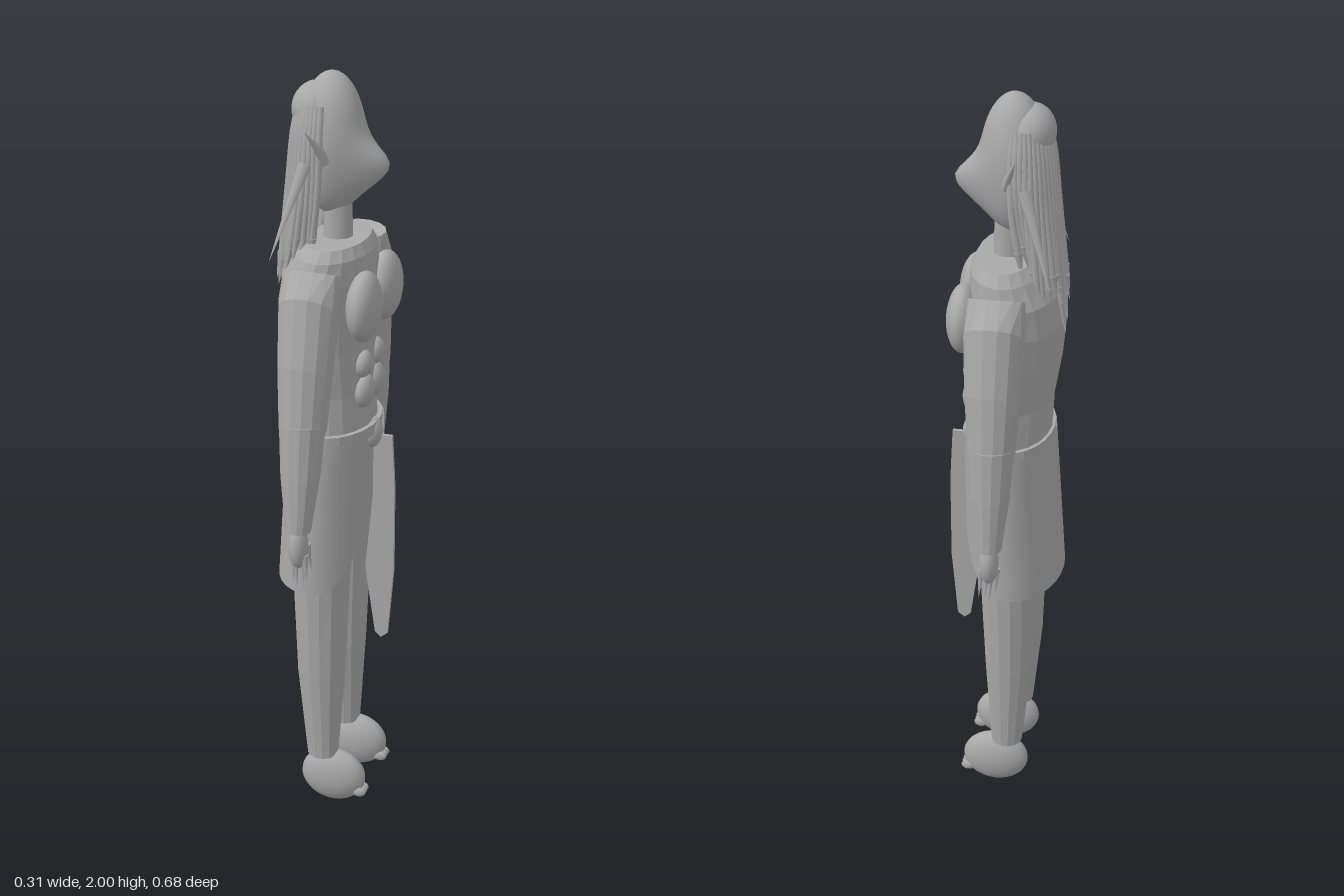
import * as THREE from 'three';

const V = (x, y, z) => new THREE.Vector3(x, y, z);

export function createModel() {
  const model = new THREE.Group();
  const clay = new THREE.MeshStandardMaterial({ color: 0xa8a8a8, side: THREE.DoubleSide });
  clay.name = 'grey clay';

  const add = (name, geometry) => {
    const mesh = new THREE.Mesh(geometry, clay);
    mesh.name = name;
    model.add(mesh);
    return mesh;
  };
  const ball = (name, x, y, z, rx, ry, rz, n = 24) => {
    const mesh = add(name, new THREE.SphereGeometry(1, n, Math.ceil(n * 0.7)));
    mesh.position.set(x, y, z);
    mesh.scale.set(rx, ry, rz);
    return mesh;
  };
  // Flattened or round cone between two points
  const spike = (name, from, to, r, flat = 1) => {
    const dir = to.clone().sub(from);
    const mesh = add(name, new THREE.ConeGeometry(r, dir.length(), 8));
    mesh.quaternion.setFromUnitVectors(V(0, 1, 0), dir.clone().normalize());
    mesh.position.copy(from).addScaledVector(dir, 0.5);
    mesh.scale.x = flat;
    return mesh;
  };
  // Skin over elliptical rings { c: centre, a and b: half axes }, lowest first
  const loft = (rings, n = 16) => {
    const pos = [], index = [];
    for (const { c, a, b } of rings) {
      for (let i = 0; i < n; i++) {
        const t = (i / n) * Math.PI * 2;
        const p = c.clone().addScaledVector(a, Math.cos(t)).addScaledVector(b, Math.sin(t));
        pos.push(p.x, p.y, p.z);
      }
    }
    const last = rings.length - 1;
    pos.push(...rings[0].c.toArray(), ...rings[last].c.toArray());
    const bottom = rings.length * n, top = bottom + 1;
    for (let i = 0; i < n; i++) {
      const k = (i + 1) % n;
      index.push(bottom, i, k, top, last * n + k, last * n + i);
      for (let j = 0; j < last; j++) {
        const p = j * n + i, q = j * n + k;
        index.push(p, p + n, q, q, p + n, q + n);
      }
    }
    const g = new THREE.BufferGeometry();
    g.setAttribute('position', new THREE.Float32BufferAttribute(pos, 3));
    g.setIndex(index);
    const flat = g.toNonIndexed();
    flat.computeVertexNormals();
    return flat;
  };
  // Level rings: [y, centre x, half depth, centre z, half width]
  const level = rows => rows.map(([y, x, rx, z, rz]) => ({ c: V(x, y, z), a: V(rx, 0, 0), b: V(0, 0, rz) }));

  // Torso and hips
  add('torso', loft(level([
    [0.96, 0, 0.05, 0, 0.07], [1.03, 0, 0.095, 0, 0.14], [1.1, -0.005, 0.105, 0, 0.152],
    [1.2, -0.01, 0.105, 0, 0.147], [1.32, -0.02, 0.115, 0, 0.158], [1.42, -0.022, 0.122, 0, 0.168],
    [1.5, -0.015, 0.115, 0, 0.174], [1.56, 0, 0.095, 0, 0.16], [1.588, 0.005, 0.075, 0, 0.138],
  ]), 20));
  add('belt', loft(level([[1.075, -0.003, 0.115, 0, 0.165], [1.105, -0.003, 0.115, 0, 0.165]]), 24));
  add('neck', new THREE.CylinderGeometry(0.035, 0.037, 0.13, 20)).position.set(0.003, 1.635, 0);
  ball('buckle', 0.095, 1.07, 0, 0.028, 0.042, 0.036);

  // Head with the face drawn out to a point
  const head = new THREE.SphereGeometry(1, 40, 28);
  const hp = head.attributes.position;
  for (let i = 0; i < hp.count; i++) {
    const u = Math.max(0, hp.getX(i)), y = 1.822 + hp.getY(i) * 0.178;
    const d = (y - 1.765) / (y > 1.765 ? 0.06 : 0.09);
    const w = Math.exp(-d * d);
    hp.setXYZ(i, -0.012 + hp.getX(i) * 0.085 + 0.075 * w * u ** 3, y, hp.getZ(i) * 0.084 * (1 - 0.3 * w * u * u));
  }
  head.computeVertexNormals();
  add('head', head);
  ball('hairCap', -0.05, 1.905, 0, 0.062, 0.068, 0.074);

  // Hanging locks around the back and sides of the head
  const locks = 25;
  for (let i = 0; i < locks; i++) {
    const t = (i / (locks - 1)) * 2 - 1, a = t * 1.75;
    const wob = Math.sin(i * 7.3), back = Math.cos(a * 0.85);
    const cx = Math.cos(a), cz = Math.sin(a);
    const end = 1.64 - 0.14 * Math.max(0, back) + 0.04 * wob;
    const path = new THREE.CatmullRomCurve3([
      V(-0.03 - 0.06 * cx, 1.925, 0.07 * cz),
      V(-0.03 - 0.075 * cx, 1.86, 0.088 * cz),
      V(-0.035 - 0.082 * cx, 1.73, 0.095 * cz + 0.006 * wob),
      V(-0.05 - 0.085 * cx, end, 0.093 * cz + 0.012 * wob),
    ]);
    add('hairLock', new THREE.TubeGeometry(path, 10, 0.0095, 7));
    const tip = path.getPoint(1);
    spike('hairTip', tip, V(tip.x - 0.012, tip.y - 0.07, tip.z + 0.008 * wob), 0.011);
  }

  // Curved cloth panel; angles are measured from the front round to the back
  const cloth = (name, start, length, top, hem, grow) => {
    const g = new THREE.CylinderGeometry(1, 1, 1, 28, 6, true, Math.PI / 2 + start, length);
    const p = g.attributes.position;
    for (let i = 0; i < p.count; i++) {
      const v = 0.5 - p.getY(i);
      const front = Math.acos(THREE.MathUtils.clamp(p.getX(i), -1, 1));
      const y = THREE.MathUtils.lerp(top, hem(front), v), f = (1.09 - y) / 0.42;
      p.setXYZ(i, -0.003 - 0.015 * f + p.getX(i) * (0.117 + 0.012 * f) * grow, y, p.getZ(i) * (0.187 + 0.003 * f) * grow);
    }
    g.computeVertexNormals();
    add(name, g);
  };
  cloth('skirt', 0.4, Math.PI * 2 - 0.8, 1.09, d => 0.672 + 0.13 * THREE.MathUtils.clamp((1.15 - d) / 0.7, 0, 1), 1);
  cloth('leftSkirtPanel', Math.PI * 1.5 - 0.55, 1.0, 1.07, () => 0.79, 1.025);
  cloth('rightSkirtPanel', Math.PI * 0.5 - 0.45, 1.0, 1.07, () => 0.79, 1.025);

  // Narrow hanging front cloth
  const strip = new THREE.Shape([
    [0.1, 1.065], [0.15, 1.065], [0.158, 0.92], [0.158, 0.68], [0.143, 0.49], [0.125, 0.475],
    [0.108, 0.49], [0.08, 0.68], [0.1, 0.9],
  ].map(([x, y]) => new THREE.Vector2(x, y)));
  const stripGeometry = new THREE.ExtrudeGeometry(strip, { depth: 0.01, bevelEnabled: false });
  add('frontCloth', stripGeometry.translate(0, 0, -0.005));

  for (const s of [1, -1]) {
    // Chest and stomach muscles
    ball('chestMuscle', 0.1, 1.44, s * 0.088, 0.042, 0.09, 0.078);
    ball('upperStomachMuscle', 0.085, 1.275, s * 0.05, 0.025, 0.036, 0.034);
    ball('lowerStomachMuscle', 0.085, 1.2, s * 0.043, 0.028, 0.045, 0.044);

    // Arm rings: [inner z, inner y, outer z, outer y, half depth]
    const arm = rows => loft(rows.map(([zi, yi, zo, yo, hx]) => ({
      c: V(0, (yi + yo) / 2, s * (zi + zo) / 2),
      a: V(hx, 0, 0),
      b: V(0, s * (yo - yi) / 2, (zo - zi) / 2),
    })), 14);
    add('upperArm', arm([
      [0.21, 1.16, 0.323, 1.18, 0.06], [0.185, 1.29, 0.307, 1.34, 0.069],
      [0.158, 1.41, 0.275, 1.51, 0.076], [0.155, 1.53, 0.222, 1.563, 0.07],
    ]));
    add('forearm', arm([
      [0.273, 0.91, 0.34, 0.915, 0.032], [0.238, 1.05, 0.335, 1.06, 0.05], [0.209, 1.18, 0.327, 1.195, 0.058],
    ]));

    // Hand
    ball('hand', 0, 0.87, s * 0.306, 0.025, 0.06, 0.031, 18);
    for (let i = 0; i < 4; i++) {
      const x = -0.018 + i * 0.012, z = s * (0.298 + (i % 2) * 0.014);
      spike('finger', V(x, 0.85, z), V(x * 1.1 + 0.005, 0.75 + Math.abs(i - 1.5) * 0.012, z + s * 0.004), 0.01);
    }
    spike('thumb', V(0.015, 0.87, s * 0.288), V(0.024, 0.79, s * 0.276), 0.011);

    // Leg and foot
    add('leg', loft(level([
      [0.145, -0.008, 0.042, s * 0.096, 0.04], [0.4, -0.013, 0.064, s * 0.09, 0.064],
      [0.66, -0.012, 0.074, s * 0.091, 0.075], [0.9, -0.005, 0.085, s * 0.092, 0.082],
      [1.02, 0, 0.085, s * 0.085, 0.076],
    ]), 14));
    ball('foot', 0.022, 0.081, s * 0.096, 0.09, 0.077, 0.042);
    for (let i = -1; i <= 1; i++) ball('toe', 0.098, 0.045, s * 0.096 + i * 0.015, 0.02, 0.014, 0.009, 12);

    // Pointed ear and the loose lock behind it
    spike('ear', V(-0.005, 1.8, s * 0.072), V(-0.035, 1.878, s * 0.138), 0.026, 0.5);
    spike('looseLock', V(-0.05, 1.79, s * 0.093), V(-0.125, 1.55, s * 0.155), 0.018, 0.7);
  }
  return model;
}
